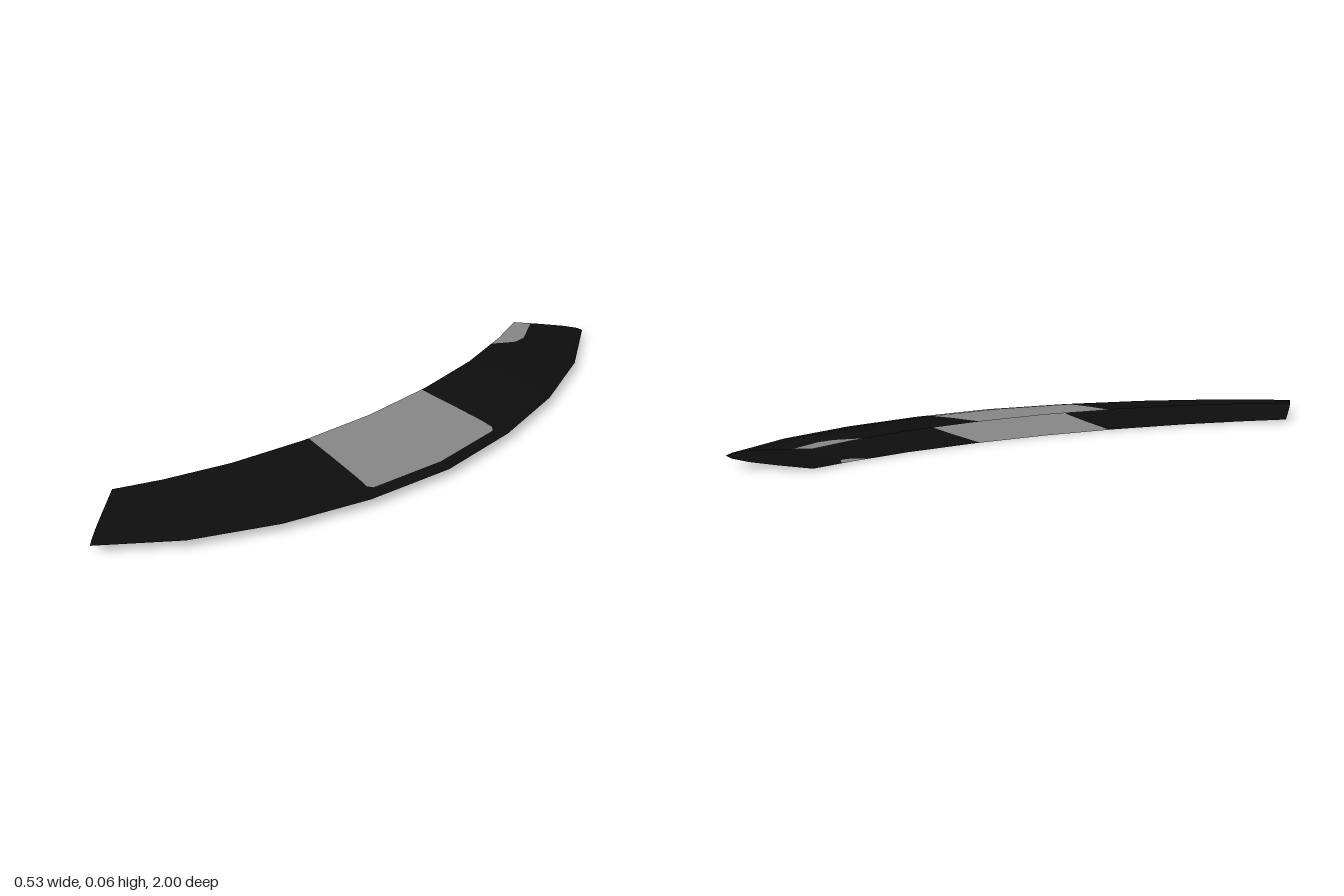
import * as THREE from 'three';

// Half of the plan outline, from the middle to one end: outer edge and inner edge [x, z]
const OUTER = [[0.265, 0], [0.235, 0.28], [0.165, 0.545], [0.055, 0.79], [-0.097, 1]];
const INNER = [[-0.095, 0], [-0.11, 0.25], [-0.15, 0.49], [-0.21, 0.69], [-0.265, 0.825]];
// Half thickness at the inner edge for each station
const HALF = [0.032, 0.0314, 0.0302, 0.0283, 0.0262];
// Rise of the curved sheet: [fraction of width from the outer edge, fraction of half thickness]
const RISE = [[0, 0], [0.07, 0.29], [0.26, 0.57], [0.6, 0.8], [1, 1]];
const MID = 0.032;

const mix = THREE.MathUtils.lerp;

function rise(u) {
  let k = 0;
  while (k < RISE.length - 2 && u > RISE[k + 1][0]) k++;
  const [a, b] = [RISE[k], RISE[k + 1]];
  return mix(a[1], b[1], (u - a[0]) / (b[0] - a[0]));
}

// Point on a sheet: s = station (-4..4), u = outer to inner, side = 1 upper, -1 lower
function point(s, u, side) {
  const a = Math.abs(s), i = Math.min(3, Math.floor(a)), t = a - i;
  const at = (edge, c) => mix(edge[i][c], edge[i + 1][c], t);
  return new THREE.Vector3(
    mix(at(OUTER, 0), at(INNER, 0), u),
    MID + side * mix(HALF[i], HALF[i + 1], t) * rise(u),
    Math.sign(s) * mix(at(OUTER, 1), at(INNER, 1), u));
}

// Strips along the arc [s0, s1, b0, b1]; the grey area lies between b and the inner edge
const MIDDLE = [
  [-1, -0.93, 1, 1], [-0.93, -0.88, 0.14, 0.1], [-0.88, 0, 0.1, 0.1],
  [0, 0.88, 0.1, 0.1], [0.88, 0.93, 0.1, 0.14], [0.93, 1, 1, 1],
];
const FRONT = [[1, 2, 1, 1], [2, 3, 1, 1], [3, 4, 1, 1]];
const BACK_UPPER = [
  [-4, -3.3, 0.76, 0.72], [-3.3, -3.05, 0.72, 0.78], [-3.05, -3, 0.78, 0.81],
  [-3, -2.75, 0.81, 1], [-2.75, -2, 1, 1], [-2, -1, 1, 1],
];
const BACK_LOWER = [
  [-4, -3.25, 1, 1], [-3.25, -3.1, 1, 0.9], [-3.1, -3, 0.9, 0.88], [-3, -2.85, 0.88, 0.9],
  [-2.85, -2.72, 0.9, 1], [-2.72, -2, 1, 1], [-2, -1, 1, 1],
];

function sheetGeometry(strips, side, grey) {
  const pos = [];
  const tri = (a, b, c) => {
    const area = b.clone().sub(a).cross(c.clone().sub(a)).length();
    if (area < 1e-9) return;
    for (const p of side > 0 ? [a, b, c] : [a, c, b]) pos.push(p.x, p.y, p.z);
  };
  const clip = grey ? Math.max : Math.min;
  for (const [s0, s1, b0, b1] of strips) {
    for (let k = 0; k < RISE.length - 1; k++) {
      const [u0, u1] = [RISE[k][0], RISE[k + 1][0]];
      const a = point(s0, clip(u0, b0), side), b = point(s0, clip(u1, b0), side);
      const c = point(s1, clip(u1, b1), side), d = point(s1, clip(u0, b1), side);
      tri(a, b, c);
      tri(a, c, d);
    }
  }
  const g = new THREE.BufferGeometry();
  g.setAttribute('position', new THREE.Float32BufferAttribute(pos, 3));
  g.computeVertexNormals();
  return g;
}

export function createModel() {
  const black = new THREE.MeshStandardMaterial({ color: 0x0d0d0d, side: THREE.DoubleSide, flatShading: true });
  black.name = 'black';
  const grey = new THREE.MeshStandardMaterial({ color: 0x858585, side: THREE.DoubleSide, flatShading: true });
  grey.name = 'grey';

  const model = new THREE.Group();
  model.name = 'curvedEdgeShell';
  const add = (name, strips, side, isGrey) => {
    const mesh = new THREE.Mesh(sheetGeometry(strips, side, isGrey), isGrey ? grey : black);
    mesh.name = name;
    model.add(mesh);
  };

  // Upper and lower sheets meet at the sharp outer edge and stay open on the inside
  for (const [label, side, back] of [['upper', 1, BACK_UPPER], ['lower', -1, BACK_LOWER]]) {
    add(label + 'Sheet', [...back, ...MIDDLE, ...FRONT], side, false);
    add(label + 'MiddlePatch', MIDDLE, side, true);
    add(label + 'EndPatch', back, side, true);
  }
  return model;
}
